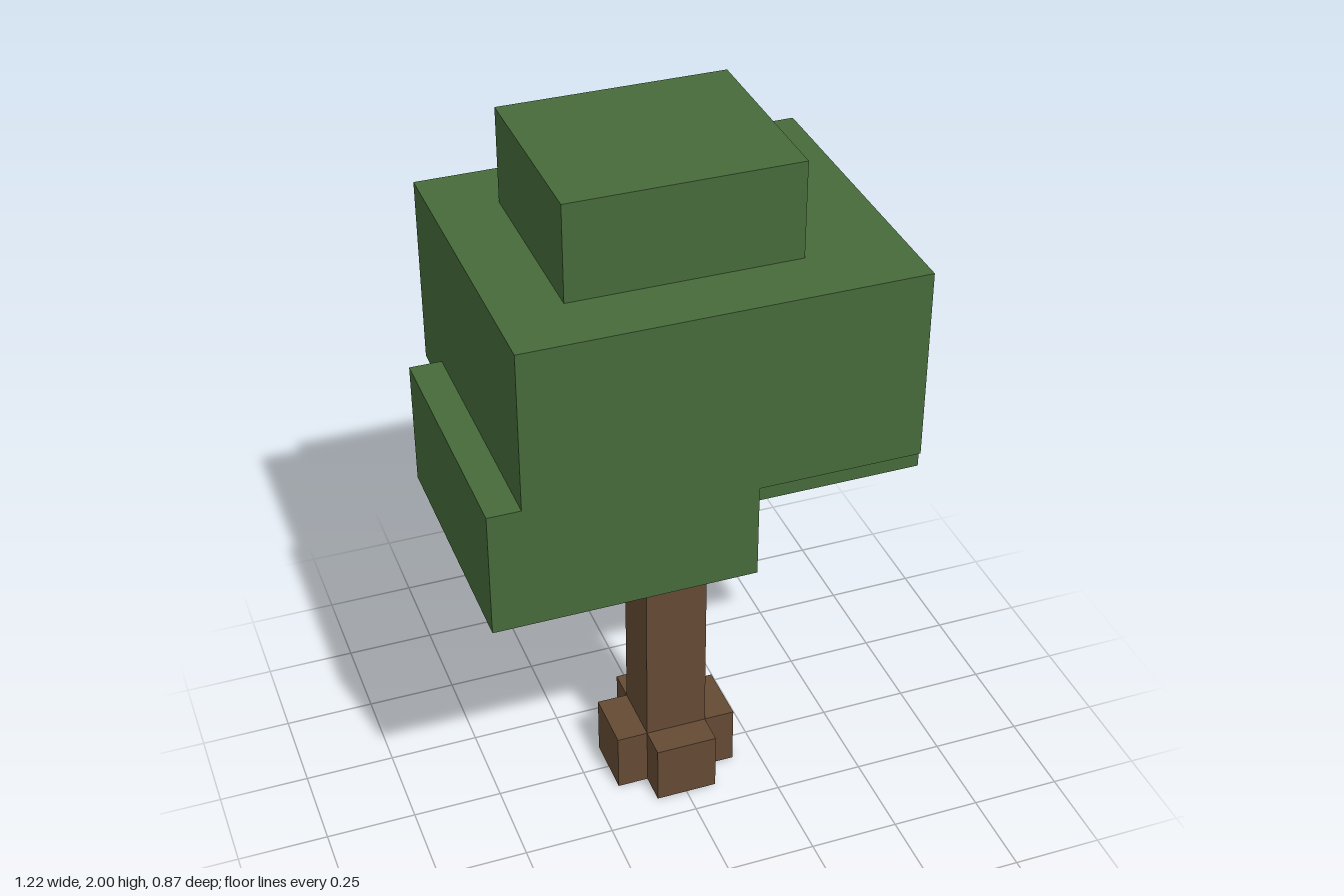
import * as THREE from 'three';

// The tree sits on a block grid, 23 blocks tall.
const U = 2 / 23;

export function createModel() {
  const tree = new THREE.Group();
  tree.name = 'tree';

  const bark = new THREE.MeshStandardMaterial({ color: 0x644a34 });
  bark.name = 'bark brown';
  const leaf = new THREE.MeshStandardMaterial({ color: 0x466a3a });
  leaf.name = 'leaf green';

  // Adds a box given its min and max corners in blocks.
  function block(name, material, [x0, y0, z0], [x1, y1, z1]) {
    const geometry = new THREE.BoxGeometry((x1 - x0) * U, (y1 - y0) * U, (z1 - z0) * U);
    const mesh = new THREE.Mesh(geometry, material);
    mesh.position.set((x0 + x1) / 2 * U, (y0 + y1) / 2 * U, (z0 + z1) / 2 * U);
    mesh.name = name;
    tree.add(mesh);
  }

  // Trunk and its branches, which end inside the leaves
  block('trunk', bark, [-1, 0, -1], [1, 13, 1]);
  block('rightBranch', bark, [-4, 9, -1], [-1, 11, 1]);
  block('leftBranch', bark, [1, 11, -1], [4, 13, 1]);

  // One root on each side of the trunk
  block('leftRoot', bark, [1, 0, -1], [2, 2, 1]);
  block('rightRoot', bark, [-2, 0, -1], [-1, 2, 1]);
  block('frontRoot', bark, [-1, 0, 1], [1, 2, 2]);
  block('backRoot', bark, [-1, 0, -2], [1, 2, -1]);

  // Leaf canopy: two low clumps, the main mass and the crown
  block('rightLeafClump', leaf, [-7, 11, -3], [1, 15, 5]);
  block('leftLeafClump', leaf, [-1, 12, -5], [7, 16, 3]);
  block('mainCanopy', leaf, [-6, 14, -5], [6, 20, 5]);
  block('crown', leaf, [-4, 20, -3], [3, 23, 3]);

  return tree;
}
